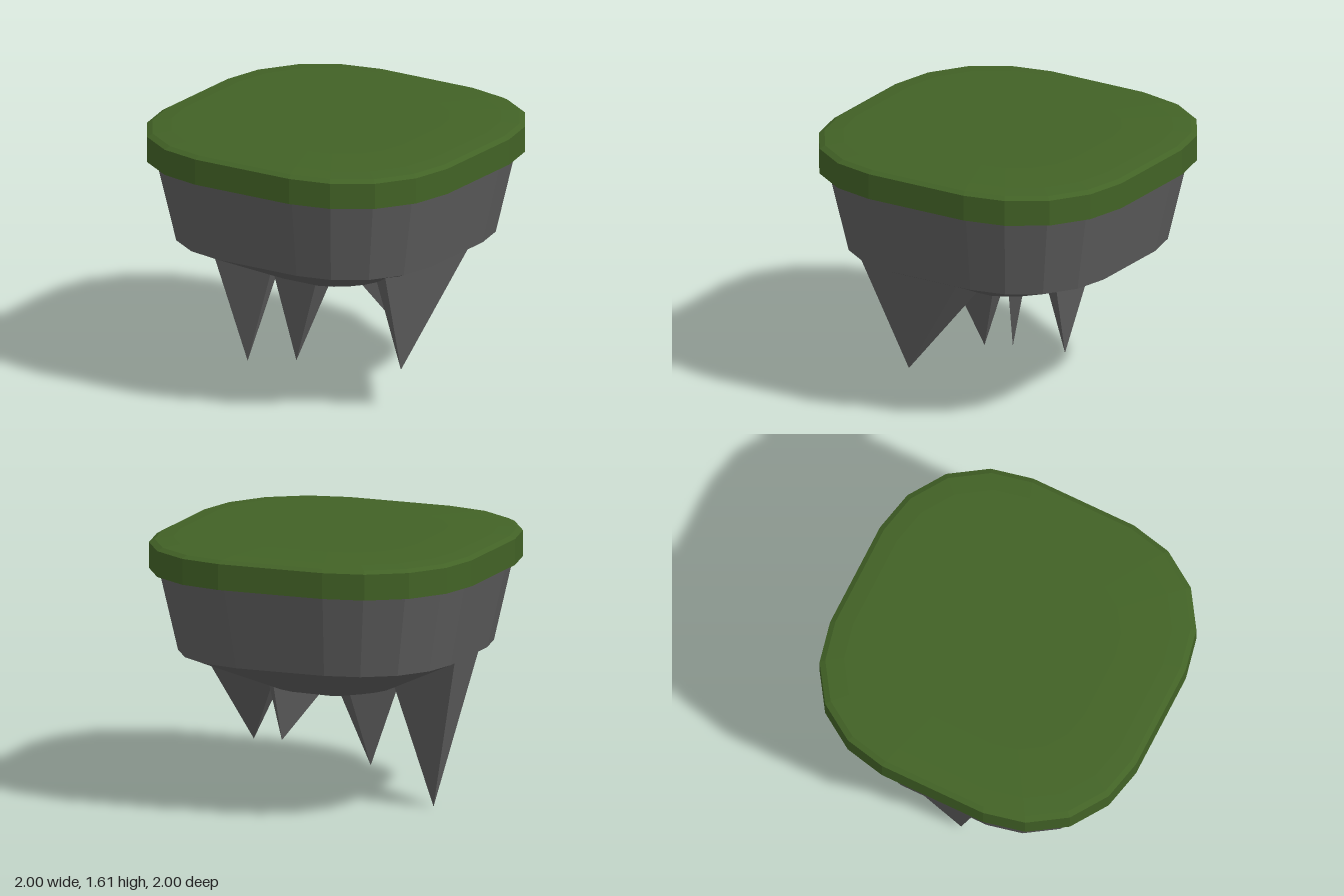
import * as THREE from 'three';

// Rounded-square outline (half size 1): one octant pair, repeated by quarter turns
const QUARTER = [[1, -0.33], [1, 0.33], [0.945, 0.58], [0.8, 0.8], [0.58, 0.945]];
const OUTLINE = [];
for (let q = 0; q < 4; q++) {
  const c = [1, 0, -1, 0][q], s = [0, 1, 0, -1][q];
  for (const [x, z] of QUARTER) OUTLINE.push([x * c - z * s, x * s + z * c]);
}

// Ring of the outline at height y; round = 1 turns it into a circle
function ring(y, size, round = 0) {
  return OUTLINE.map(([x, z]) => {
    const k = size * (1 - round + round / Math.hypot(x, z));
    return new THREE.Vector3(x * k, y, z * k);
  });
}

function toGeometry(points) {
  const geo = new THREE.BufferGeometry().setFromPoints(points);
  geo.computeVertexNormals();
  return geo;
}

// Closed loft through rings listed from bottom to top
function loft(rings) {
  const pts = [];
  const n = OUTLINE.length;
  const first = rings[0], last = rings[rings.length - 1];
  const low = new THREE.Vector3(0, first[0].y, 0), high = new THREE.Vector3(0, last[0].y, 0);
  for (let i = 0; i < n; i++) {
    const j = (i + 1) % n;
    pts.push(low, first[i], first[j], high, last[j], last[i]);
    for (let r = 0; r + 1 < rings.length; r++) {
      const a = rings[r], b = rings[r + 1];
      pts.push(a[i], b[i], b[j], a[i], b[j], a[j]);
    }
  }
  return toGeometry(pts);
}

// Downward spike from four base corners to a tip
function spike(tip, corners) {
  const base = corners.map((c) => new THREE.Vector3(...c));
  const mid = base.reduce((m, p) => m.add(p), new THREE.Vector3()).divideScalar(base.length);
  const angle = (p) => Math.atan2(p.z - mid.z, p.x - mid.x);
  base.sort((a, b) => angle(a) - angle(b));
  const end = new THREE.Vector3(...tip);
  const pts = [];
  base.forEach((p, i) => {
    const next = base[(i + 1) % base.length];
    pts.push(end, p, next, mid, next, p);
  });
  return toGeometry(pts);
}

export function createModel() {
  const model = new THREE.Group();
  const grass = new THREE.MeshStandardMaterial({ color: 0x426226 });
  grass.name = 'grass green';
  const rock = new THREE.MeshStandardMaterial({ color: 0x5e5e5e });
  rock.name = 'rock grey';

  const add = (name, geo, mat) => {
    const mesh = new THREE.Mesh(geo, mat);
    mesh.name = name;
    model.add(mesh);
  };

  // Grass slab with a softly domed top
  add('grassTop', loft([
    ring(1.415, 1), ring(1.57, 1), ring(1.588, 0.97), ring(1.6, 0.87), ring(1.61, 0.6),
  ]), grass);

  // Tapering rock body with a shallow stepped underside
  add('rockBody', loft([
    ring(0.625, 0.07, 1), ring(0.7, 0.39, 0.85), ring(0.92, 0.845), ring(1.42, 0.95),
  ]), rock);

  // Hanging spikes, each wide outside and narrow towards the middle
  const spikes = {
    rightSpike: [[-0.62, 0, 0],
      [[-0.83, 0.915, -0.18], [-0.83, 0.915, 0.18], [-0.39, 0.715, 0.05], [-0.39, 0.715, -0.05]]],
    frontSpike: [[-0.12, 0.16, 0.24],
      [[-0.33, 0.705, 0.19], [0.1, 0.705, 0.37], [0.02, 0.64, 0.08], [-0.06, 0.64, 0.05]]],
    backSpike: [[0.26, 0.365, -0.2],
      [[0.335, 0.705, -0.22], [0.28, 0.705, -0.28], [0.07, 0.635, -0.08], [0.09, 0.635, -0.06]]],
    leftSpike: [[0.64, 0.25, 0.28],
      [[0.82, 0.915, -0.17], [0.72, 0.915, 0.57], [0.37, 0.71, 0.13], [0.375, 0.71, -0.03]]],
  };
  for (const [name, [tip, corners]] of Object.entries(spikes)) add(name, spike(tip, corners), rock);

  return model;
}
